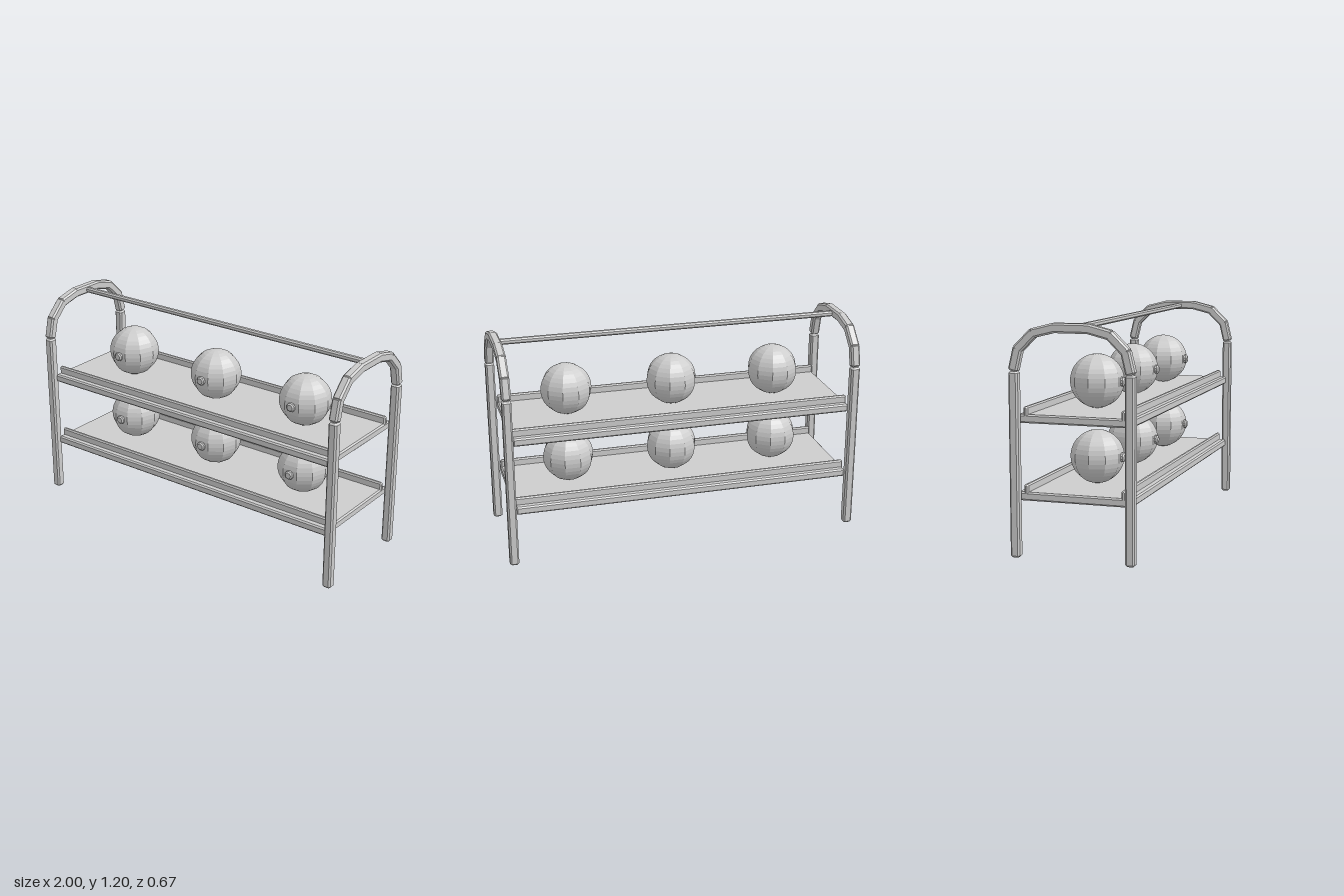
import * as THREE from 'three';

const grey = new THREE.MeshStandardMaterial({ color: 0xcccccc });
grey.name = 'plain grey';

// Box of w by h by len (along z) with every edge chamfered by c
function chamferedBar(w, h, len, c) {
  const x = w / 2, y = h / 2;
  const shape = new THREE.Shape([
    [x - c, -y], [x, -y + c], [x, y - c], [x - c, y],
    [-x + c, y], [-x, y - c], [-x, -y + c], [-x + c, -y],
  ].map(([a, b]) => new THREE.Vector2(a, b)));
  const geo = new THREE.ExtrudeGeometry(shape, {
    depth: len - 2 * c, bevelEnabled: true, bevelThickness: c,
    bevelSize: c, bevelOffset: -c, bevelSegments: 1,
  });
  return geo.translate(0, 0, c - len / 2);
}

function faceted(geo) {
  const flat = geo.toNonIndexed();
  flat.computeVertexNormals();
  return flat;
}

function add(parent, name, geo, x = 0, y = 0, z = 0) {
  const mesh = new THREE.Mesh(geo, grey);
  mesh.name = name;
  mesh.position.set(x, y, z);
  parent.add(mesh);
  return mesh;
}

// Two legs joined by a segmented arch
function endFrame(x) {
  const frame = new THREE.Group();
  frame.name = 'endFrame';
  const leg = chamferedBar(0.05, 0.05, 0.957, 0.009).rotateX(Math.PI / 2);
  for (const s of [-1, 1]) add(frame, 'leg', leg, x, 0.4785, s * 0.308);

  const half = [[0.311, 0.958], [0.284, 1.07], [0.202, 1.151], [0.09, 1.179]];
  const path = [...half, ...half.slice().reverse().map(([z, y]) => [-z, y])];
  for (let i = 0; i < path.length - 1; i++) {
    const [z0, y0] = path[i], [z1, y1] = path[i + 1];
    const first = i === 0, last = i === path.length - 2;
    const len = Math.hypot(z1 - z0, y1 - y0);
    // Overlap neighbours a little, but not past the leg tops
    const e0 = first ? 0 : 0.011, e1 = last ? 0 : 0.011;
    const mid = (len - e0 + e1) / 2 / len;
    const seg = add(frame, 'archSegment', chamferedBar(0.05, 0.05, len + e0 + e1, 0.009),
      x, y0 + (y1 - y0) * mid, z0 + (z1 - z0) * mid);
    seg.rotation.x = -Math.atan2(y1 - y0, z1 - z0);
  }
  return frame;
}

// Shelf board with a raised lip along front and back, carrying three balls
function shelf(y) {
  const group = new THREE.Group();
  group.name = 'shelf';
  group.position.y = y;
  add(group, 'board', chamferedBar(0.615, 0.045, 1.9, 0.008).rotateY(Math.PI / 2), 0, 0.0225, 0);
  const lip = chamferedBar(0.024, 0.06, 1.9, 0.007).rotateY(Math.PI / 2);
  for (const s of [-1, 1]) add(group, 'lip', lip, 0, 0.055, s * 0.261);

  const ballGeo = faceted(new THREE.SphereGeometry(0.1425, 10, 18));
  const knobProfile = [[0, -0.03], [0.025, -0.03], [0.025, 0.012], [0.017, 0.019], [0, 0.019]];
  const knobGeo = faceted(new THREE.LatheGeometry(
    knobProfile.map(([r, h]) => new THREE.Vector2(r, h)), 10)).rotateX(Math.PI / 2);
  for (const x of [-0.6, 0, 0.6]) {
    add(group, 'ball', ballGeo, x, 0.187, 0);
    add(group, 'ballKnob', knobGeo, x, 0.187, 0.134);
  }
  return group;
}

export function createModel() {
  const model = new THREE.Group();
  model.name = 'ballRack';
  for (const s of [-1, 1]) model.add(endFrame(s * 0.975));
  for (const y of [0.29, 0.69]) model.add(shelf(y));
  // Handle bar between the two arches
  add(model, 'topBar', chamferedBar(0.032, 0.03, 1.91, 0.008).rotateY(Math.PI / 2), 0, 1.177, 0);
  return model;
}
